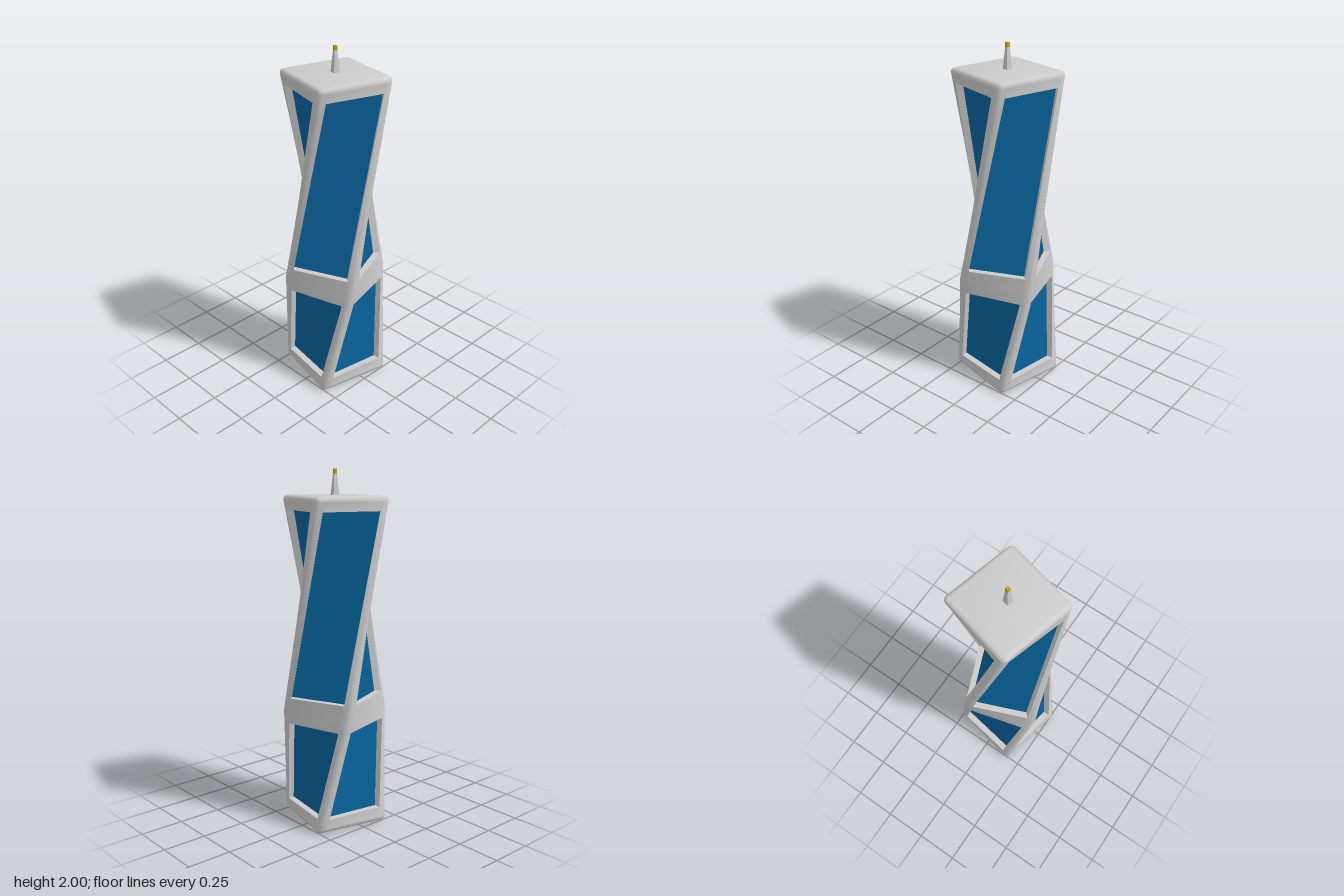
import * as THREE from 'three';
import { mergeGeometries, toCreasedNormals } from 'three/addons/utils/BufferGeometryUtils.js';

const HALF = 0.22;      // half width of the square plan
const R = 0.028;        // rounding of the outer edges
const POST = 0.05;      // visible width of a corner post on each side
const DEPTH = 0.038;    // recess of the glass
const STEPS = 4;        // segments per rounded edge
const HEIGHT = 1.86;
const LEVELS = [0, 0.67, HEIGHT];
const SCALES = [1.015, 1, 1.015];
const START = THREE.MathUtils.degToRad(-13.5);

// Point on side k: s runs along the side, d is depth below its face.
// The plan turns a quarter over the height, in two straight stages.
function pt(k, s, d, y) {
  const at = (i) => {
    const f = START + (LEVELS[i] / HEIGHT + k) * Math.PI / 2;
    const n = (HALF - d) * SCALES[i], t = s * SCALES[i];
    return new THREE.Vector3(
      Math.sin(f) * n + Math.cos(f) * t, LEVELS[i],
      Math.cos(f) * n - Math.sin(f) * t);
  };
  const i = y > LEVELS[1] ? 1 : 0;
  const m = (y - LEVELS[i]) / (LEVELS[i + 1] - LEVELS[i]);
  return at(i).lerp(at(i + 1), m);
}

// Surface through rows of points (rows go up, points go left to right).
function grid(rows) {
  const pos = [];
  for (let j = 0; j < rows.length - 1; j++) {
    for (let i = 0; i < rows[j].length - 1; i++) {
      const a = rows[j][i], b = rows[j][i + 1];
      const c = rows[j + 1][i + 1], d = rows[j + 1][i];
      for (const p of [a, b, c, a, c, d]) pos.push(p.x, p.y, p.z);
    }
  }
  const g = new THREE.BufferGeometry();
  g.setAttribute('position', new THREE.Float32BufferAttribute(pos, 3));
  return g;
}

function smooth(parts, crease) {
  const g = mergeGeometries(parts);
  g.computeVertexNormals();
  return toCreasedNormals(g, crease);
}

// Rounded corner between side k and the next one, with radius rho
function arc(k, y, rho) {
  const out = [];
  for (let i = 0; i <= STEPS; i++) {
    const a = (i / STEPS) * Math.PI / 2;
    out.push(pt(k, HALF - R + rho * Math.sin(a), R - rho * Math.cos(a), y));
  }
  return out;
}

// Corner post, cut into short lengths so that its twist stays smooth
function postGeometry(k) {
  const rows = [];
  const stops = [R, LEVELS[1], HEIGHT - R];
  for (let j = 0; j <= 16; j++) {
    const i = j < 8 ? 0 : 1;
    const y = THREE.MathUtils.lerp(stops[i], stops[i + 1], (j - 8 * i) / 8);
    rows.push([pt(k, HALF - POST, 0, y), ...arc(k, y, R), pt(k, HALF, POST, y)]);
  }
  return grid(rows);
}

function railGeometry(k, levels) {
  const s = HALF - POST;
  return grid(levels.map((y) => [pt(k, -s, 0, y), pt(k, s, 0, y)]));
}

// Rounded edge and flat face closing the top or the bottom
function capGeometry(top) {
  const rows = [];
  for (let j = 0; j <= STEPS; j++) {
    const b = (j / STEPS) * Math.PI / 2;
    const rise = R * Math.sin(b);
    const y = top ? HEIGHT - R + rise : R - rise;
    const ring = [0, 1, 2, 3].flatMap((k) => arc(k, y, R * Math.cos(b)));
    rows.push([...ring, ring[0]]);
  }
  rows.push(rows[0].map(() => new THREE.Vector3(0, top ? HEIGHT : 0, 0)));
  return grid(top ? rows : rows.reverse());
}

// Window corners, counter-clockwise: the opening in the face, and the glass
// pushed straight in along the mean normal of the twisted face
function windowCorners(k, [y0, y1]) {
  const s = HALF - POST;
  const outer = [pt(k, -s, 0, y0), pt(k, s, 0, y0), pt(k, s, 0, y1), pt(k, -s, 0, y1)];
  const [bl, br, tr, tl] = outer;
  const normal = tr.clone().sub(bl).cross(tl.clone().sub(br)).normalize();
  const inner = outer.map((p) => p.clone().addScaledVector(normal, -DEPTH));
  return { outer, inner, normal };
}

function revealGeometry(k, span) {
  const { outer, inner } = windowCorners(k, span);
  return grid([outer, inner].map((r) => [...r, r[0]]));
}

// Glass of two triangles, folded along one diagonal, shaded as one facet
function glassGeometry(k, span, fold) {
  const { inner, normal } = windowCorners(k, span);
  const g = new THREE.BufferGeometry().setFromPoints(inner);
  g.setAttribute('normal', new THREE.Float32BufferAttribute(
    inner.flatMap(() => normal.toArray()), 3));
  g.setIndex(fold);
  return g;
}

export function createModel() {
  const model = new THREE.Group();
  model.name = 'twistedTower';
  const grey = new THREE.MeshStandardMaterial({ color: 0xcccccc });
  const greyFlat = new THREE.MeshStandardMaterial({ color: 0xcccccc, flatShading: true });
  const blue = new THREE.MeshStandardMaterial({ color: 0x06639c, side: THREE.DoubleSide });
  const gold = new THREE.MeshStandardMaterial({ color: 0xc9a20c, flatShading: true });
  const add = (name, geometry, material) => {
    const mesh = new THREE.Mesh(geometry, material);
    mesh.name = name;
    model.add(mesh);
    return mesh;
  };

  // Frame: caps, posts and rails
  const lower = [0.083, 0.588], upper = [0.742, 1.78];
  const sides = [0, 1, 2, 3];
  const frame = [capGeometry(true), capGeometry(false)];
  for (const k of sides) {
    frame.push(
      postGeometry(k),
      railGeometry(k, [R, lower[0]]),
      railGeometry(k, [lower[1], LEVELS[1], upper[0]]),
      railGeometry(k, [upper[1], HEIGHT - R]));
  }
  add('frame', smooth(frame, 1), grey);
  add('windowReveals', smooth(sides.flatMap((k) =>
    [lower, upper].map((span) => revealGeometry(k, span))), 0.5), grey);

  // Glass: the lower panes fold outwards, the upper ones inwards
  for (const k of sides) {
    add('lowerGlass' + (k + 1), glassGeometry(k, lower, [0, 1, 3, 1, 2, 3]), blue);
    add('upperGlass' + (k + 1), glassGeometry(k, upper, [0, 1, 2, 0, 2, 3]), blue);
  }

  // Square tapering mast with a gilded tip
  const mast = (name, r1, r0, y0, y1, material) => {
    const mesh = add(name, new THREE.CylinderGeometry(r1, r0, y1 - y0, 4), material);
    mesh.position.y = (y0 + y1) / 2;
    mesh.rotation.y = Math.PI / 4 + START;
  };
  mast('mast', 0.012, 0.025, HEIGHT, 1.975, greyFlat);
  mast('mastTip', 0.012, 0.012, 1.975, 2, gold);
  return model;
}
